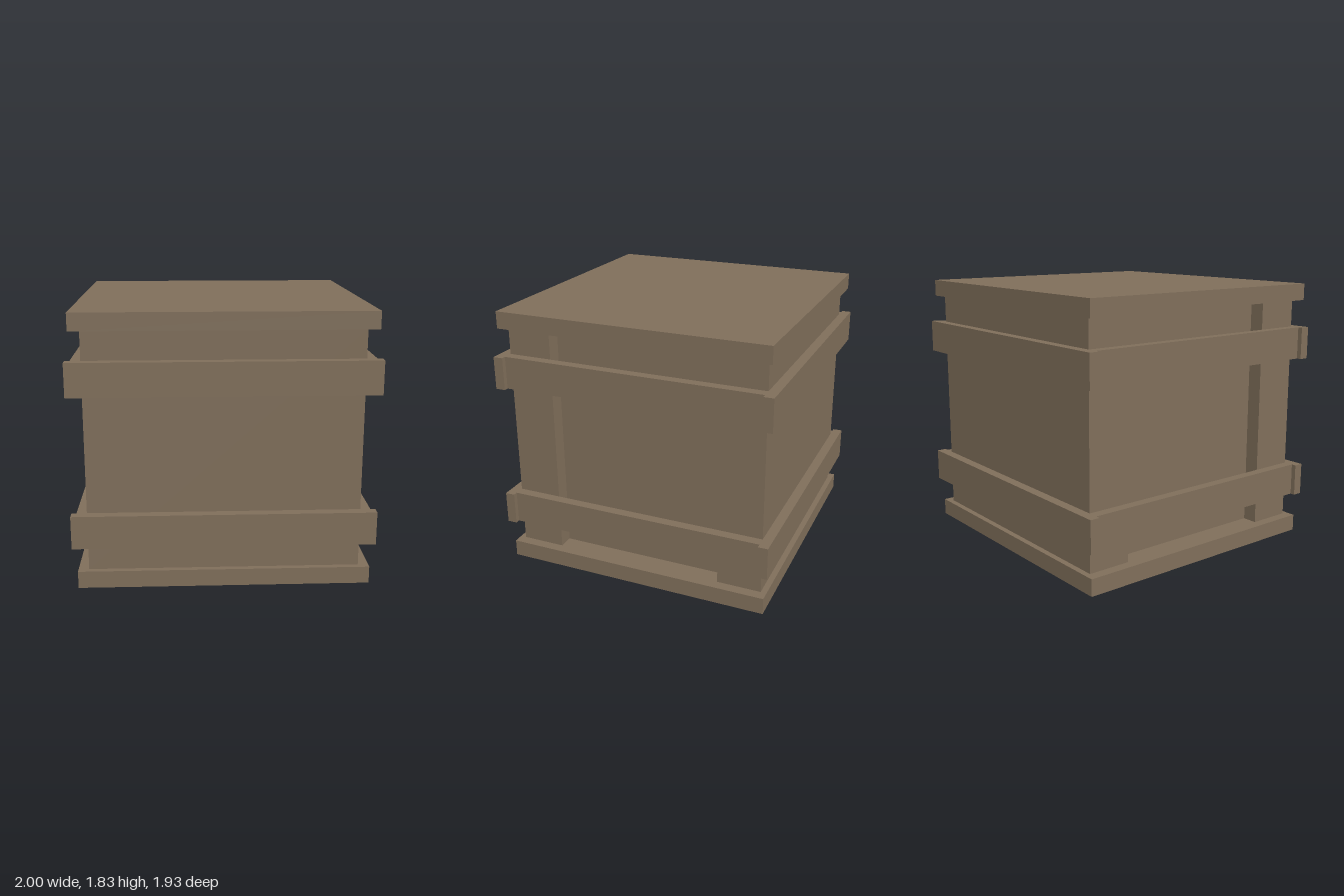
import * as THREE from 'three';

export function createModel() {
  const crate = new THREE.Group();
  crate.name = 'crate';
  const wood = new THREE.MeshStandardMaterial({ color: 0x7f6e5a });
  wood.name = 'brown wood';

  // Box from its size and centre
  const board = (name, w, h, d, x, y, z) => {
    const mesh = new THREE.Mesh(new THREE.BoxGeometry(w, h, d), wood);
    mesh.name = name;
    mesh.position.set(x, y, z);
    crate.add(mesh);
  };

  // Base and lid slabs
  const slab = 0.116, height = 1.832;
  board('base', 1.94, slab, 1.88, 0, slab / 2, 0);
  board('lid', 1.94, slab, 1.88, 0, height - slab / 2, 0);

  // Walls: thick front and back, recessed panels on the sides
  const wallHeight = height - 2 * slab, middle = height / 2;
  for (const [side, label] of [[1, 'front'], [-1, 'back']]) {
    board(label + 'Wall', 1.8, wallHeight, 0.305, 0, middle, side * 0.7475);
  }
  for (const [side, label] of [[1, 'left'], [-1, 'right']]) {
    board(label + 'Panel', 0.1, wallHeight, 1.19, side * 0.745, middle, 0);
  }

  // Two rows of battens running round the crate
  for (const [y, row] of [[0.401, 'lower'], [1.413, 'upper']]) {
    for (const s of [1, -1]) {
      board(row + (s > 0 ? 'Front' : 'Back') + 'Batten', 2, 0.224, 0.067, 0, y, s * 0.9335);
      board(row + (s > 0 ? 'Left' : 'Right') + 'Batten', 0.067, 0.224, 1.8, s * 0.9335, y, 0);
    }
  }
  return crate;
}
